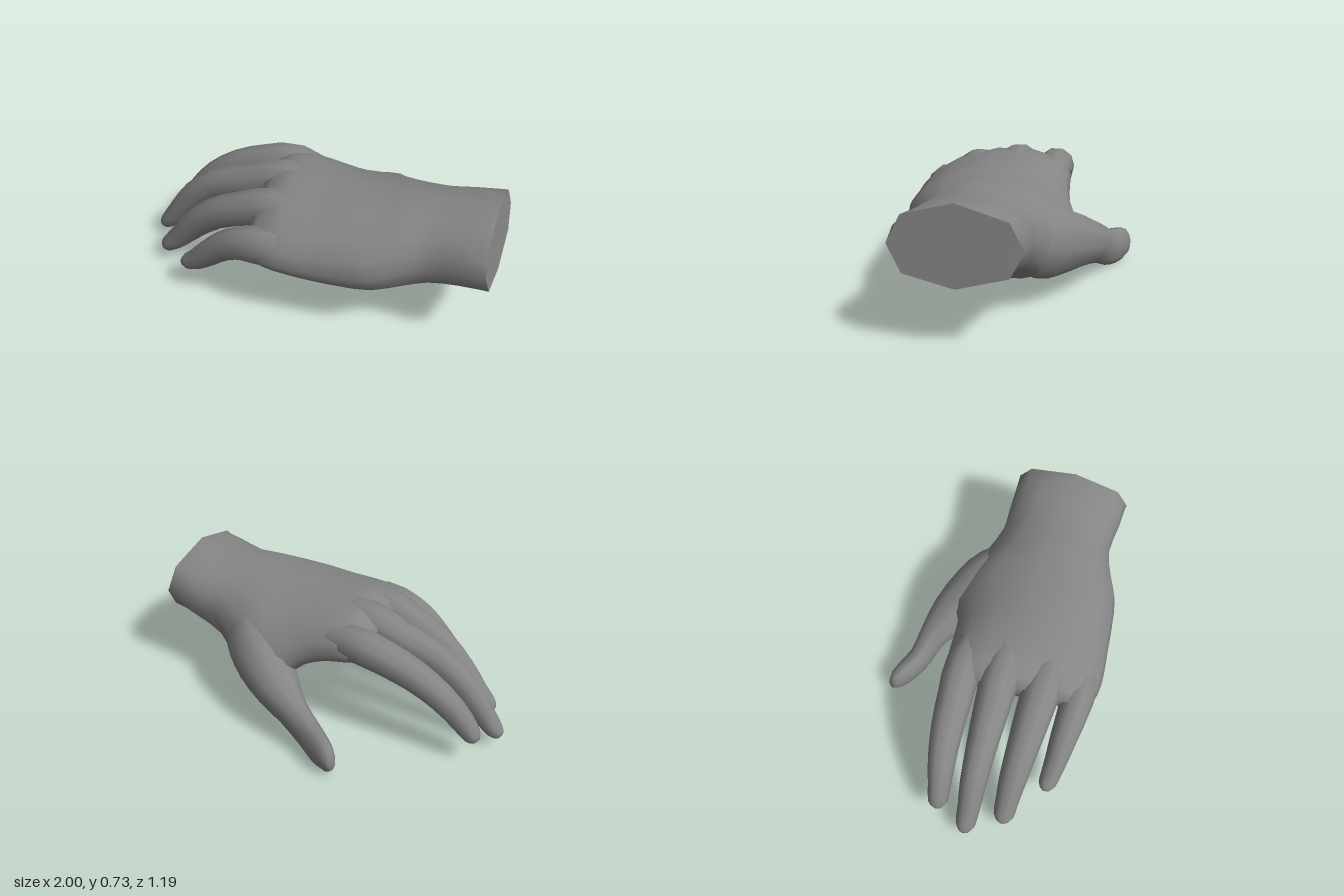
import * as THREE from 'three';

const material = new THREE.MeshStandardMaterial({ color: 0x858585 });

// Skin a list of rings (each running counter-clockwise seen from the start); ends may be closed with a fan.
function loft(name, rings, capStart, capEnd) {
  const n = rings[0].length, last = rings.length - 1;
  const points = rings.flat(), index = [];
  for (let i = 0; i < last; i++) {
    for (let j = 0; j < n; j++) {
      const k = (j + 1) % n, a = i * n + j, b = i * n + k;
      index.push(a, a + n, b, b, a + n, b + n);
    }
  }
  const fan = (row, flip) => {
    const centre = new THREE.Vector3();
    rings[row].forEach((p) => centre.addScaledVector(p, 1 / n));
    const c = points.push(centre) - 1;
    for (let j = 0; j < n; j++) {
      const a = row * n + j, b = row * n + (j + 1) % n;
      index.push(c, flip ? b : a, flip ? a : b);
    }
  };
  if (capStart) fan(0, false);
  if (capEnd) fan(last, true);
  const geometry = new THREE.BufferGeometry().setFromPoints(points);
  geometry.setIndex(index);
  geometry.computeVertexNormals();
  const mesh = new THREE.Mesh(geometry, material);
  mesh.name = name;
  return mesh;
}

// Smoothly resample rows of numbers
function resample(rows, steps) {
  const total = (rows.length - 1) * steps;
  return Array.from({ length: total + 1 }, (_, s) => {
    const i = Math.min(Math.floor(s / steps), rows.length - 2), t = s / steps - i;
    const at = (k) => rows[THREE.MathUtils.clamp(k, 0, rows.length - 1)];
    return rows[0].map((_, c) => {
      const p0 = at(i - 1)[c], p1 = at(i)[c], p2 = at(i + 1)[c], p3 = at(i + 2)[c];
      return p1 + 0.5 * t * (p2 - p0 + t * (2 * p0 - 5 * p1 + 4 * p2 - p3 + t * (3 * (p1 - p2) + p3 - p0)));
    });
  });
}

// A finger along rows of x, y, z, half width, half thickness
function finger(name, rows, sides = 10) {
  const path = resample(rows, 2);
  const up = new THREE.Vector3(0, 1, 0);
  const centre = (i) => new THREE.Vector3(...path[THREE.MathUtils.clamp(i, 0, path.length - 1)].slice(0, 3));
  const rings = path.map((row, i) => {
    const along = centre(i + 1).sub(centre(i - 1)).normalize();
    const side = along.clone().cross(up).normalize();
    const normal = side.clone().cross(along);
    return Array.from({ length: sides }, (_, j) => {
      const a = (j / sides) * Math.PI * 2;
      return centre(i).addScaledVector(side, row[3] * Math.cos(a)).addScaledVector(normal, row[4] * Math.sin(a));
    });
  });
  return loft(name, rings, true, true);
}

// Palm and wrist: x, z range, then top and bottom heights at the thumb side, middle and little-finger side
const PALM = [
  [0.96, -0.08, 0.55, 0.68, 0.74, 0.69, 0.40, 0.345, 0.38],
  [0.80, -0.10, 0.53, 0.65, 0.72, 0.66, 0.34, 0.32, 0.37],
  [0.65, -0.12, 0.50, 0.61, 0.71, 0.63, 0.27, 0.27, 0.33],
  [0.52, -0.20, 0.53, 0.54, 0.705, 0.62, 0.18, 0.20, 0.30],
  [0.38, -0.29, 0.58, 0.50, 0.69, 0.59, 0.14, 0.175, 0.27],
  [0.22, -0.30, 0.59, 0.49, 0.685, 0.57, 0.20, 0.23, 0.27],
  [0.08, -0.25, 0.59, 0.57, 0.68, 0.55, 0.32, 0.31, 0.28],
  [-0.06, -0.245, 0.59, 0.61, 0.68, 0.54, 0.40, 0.36, 0.30],
  [-0.18, -0.245, 0.575, 0.62, 0.67, 0.525, 0.43, 0.39, 0.32],
  [-0.28, -0.21, 0.53, 0.585, 0.60, 0.48, 0.47, 0.44, 0.37],
];
const PALM_SIDES = 16;

function palmRings() {
  const bend = (a, b, c, v) => b + (c - a) * v / 2 + (a + c - 2 * b) * v * v / 2;
  const soft = (v) => Math.sign(v) * Math.abs(v) ** 0.7;
  const rings = resample(PALM, 2).map(([x, z0, z1, t0, t1, t2, b0, b1, b2], i) =>
    Array.from({ length: PALM_SIDES }, (_, j) => {
      const a = (j / PALM_SIDES) * Math.PI * 2;
      const v = -soft(Math.cos(a)), h = soft(Math.sin(a));
      const top = bend(t0, t1, t2, v), bottom = bend(b0, b1, b2, v);
      const slant = i === 0 ? -0.035 * v - 0.02 * h : 0; // oblique wrist cut
      return new THREE.Vector3(
        x + slant,
        (top + bottom) / 2 + h * (top - bottom) / 2,
        (z0 + z1) / 2 + v * (z1 - z0) / 2,
      );
    }));
  // Eight straight edges around the wrist cut
  const cut = rings[0];
  for (let j = 1; j < PALM_SIDES; j += 2) cut[j].lerpVectors(cut[j - 1], cut[(j + 1) % PALM_SIDES], 0.5);
  return rings;
}

const FINGERS = {
  indexFinger: [
    [0.10, 0.50, -0.10, 0.06, 0.06], [-0.18, 0.555, -0.148, 0.098, 0.098], [-0.36, 0.525, -0.16, 0.095, 0.095],
    [-0.54, 0.465, -0.17, 0.086, 0.085], [-0.69, 0.37, -0.17, 0.074, 0.078], [-0.80, 0.26, -0.165, 0.062, 0.068],
    [-0.865, 0.18, -0.165, 0.054, 0.05], [-0.89, 0.15, -0.165, 0.027, 0.027],
  ],
  middleFinger: [
    [0.12, 0.56, 0.09, 0.07, 0.07], [-0.17, 0.595, 0.06, 0.102, 0.095], [-0.38, 0.525, 0.04, 0.096, 0.095],
    [-0.60, 0.45, 0.025, 0.081, 0.09], [-0.76, 0.33, 0.015, 0.072, 0.082], [-0.87, 0.2, 0.01, 0.062, 0.067],
    [-0.95, 0.11, 0.005, 0.054, 0.048], [-0.985, 0.08, 0.005, 0.026, 0.026],
  ],
  ringFinger: [
    [0.12, 0.54, 0.3, 0.07, 0.07], [-0.16, 0.56, 0.285, 0.102, 0.1], [-0.36, 0.495, 0.26, 0.098, 0.095],
    [-0.55, 0.405, 0.235, 0.085, 0.088], [-0.69, 0.285, 0.215, 0.075, 0.079], [-0.79, 0.175, 0.205, 0.064, 0.063],
    [-0.865, 0.105, 0.2, 0.055, 0.047], [-0.893, 0.08, 0.2, 0.027, 0.024],
  ],
  littleFinger: [
    [0.12, 0.44, 0.45, 0.07, 0.08], [-0.14, 0.445, 0.475, 0.092, 0.115], [-0.31, 0.425, 0.46, 0.083, 0.096],
    [-0.43, 0.365, 0.44, 0.073, 0.08], [-0.53, 0.28, 0.425, 0.063, 0.071], [-0.61, 0.21, 0.41, 0.054, 0.058],
    [-0.665, 0.18, 0.4, 0.046, 0.042], [-0.692, 0.165, 0.4, 0.022, 0.022],
  ],
  thumb: [
    [0.62, 0.45, 0.08, 0.07, 0.08], [0.45, 0.37, -0.09, 0.15, 0.19], [0.33, 0.325, -0.2, 0.155, 0.18],
    [0.18, 0.265, -0.315, 0.13, 0.135], [0.05, 0.2, -0.4, 0.08, 0.11], [-0.06, 0.135, -0.45, 0.064, 0.107],
    [-0.15, 0.108, -0.51, 0.06, 0.106], [-0.22, 0.105, -0.56, 0.046, 0.088], [-0.255, 0.11, -0.582, 0.022, 0.045],
  ],
};

export function createModel() {
  const hand = new THREE.Group();
  hand.name = 'hand';

  const rings = palmRings();
  hand.add(loft('palm', rings, false, true));

  // Flat wrist cut with its own normals
  const cut = loft('wristCut', rings.slice(0, 2), true, false);
  cut.geometry.setIndex(Array.from(cut.geometry.index.array).slice(-PALM_SIDES * 3));
  cut.geometry.computeVertexNormals();
  hand.add(cut);

  for (const [name, rows] of Object.entries(FINGERS)) hand.add(finger(name, rows));
  return hand;
}
